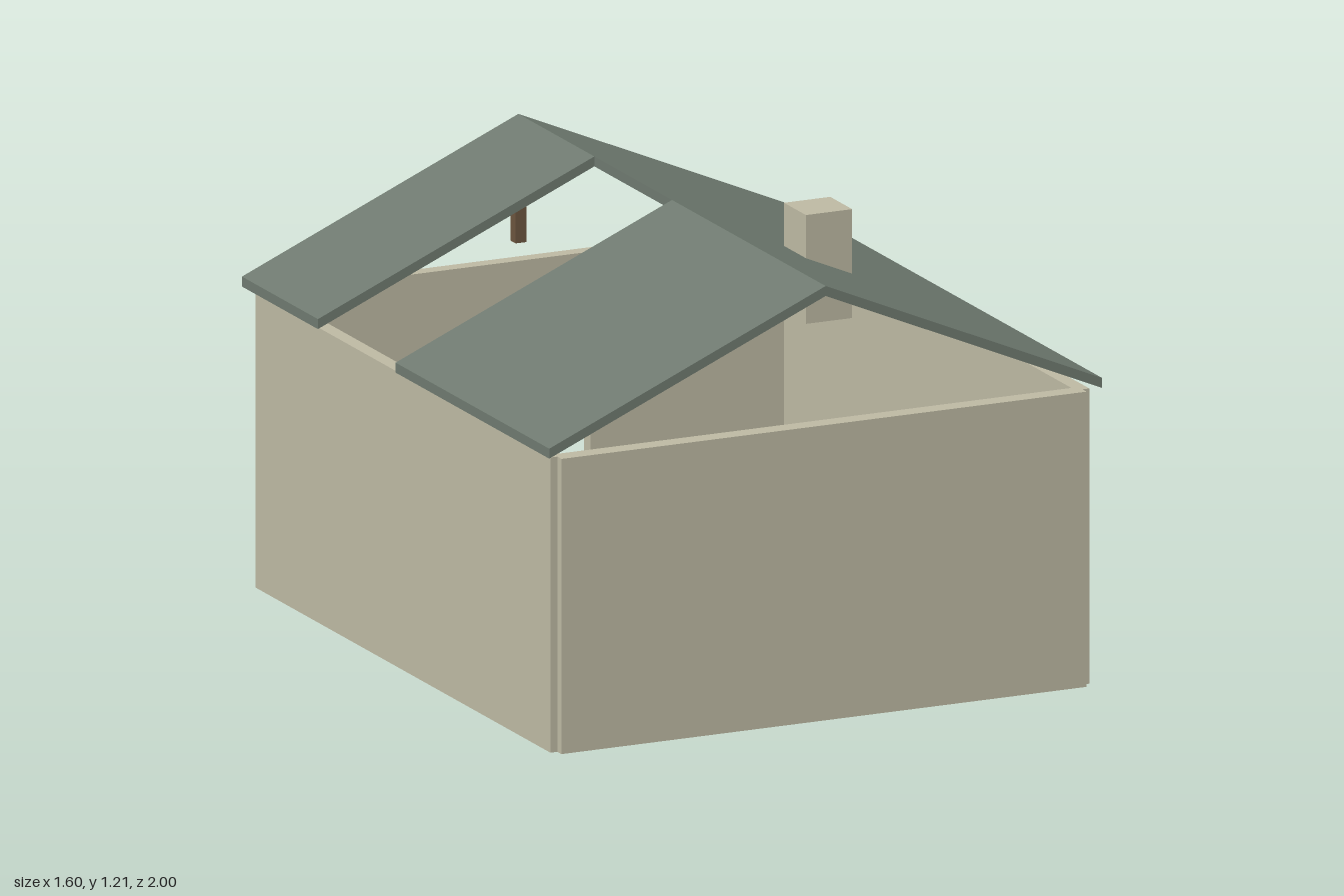
import * as THREE from 'three';

const mat = (color) => new THREE.MeshStandardMaterial({ color });

export function createModel() {
  const house = new THREE.Group();
  house.name = 'house';
  const wall = mat(0xbcb8a2), roof = mat(0x6e796f), wood = mat(0x70604a),
    darkWood = mat(0x6a543e), stone = mat(0xa19d82), glass = mat(0x3f6468), panel = mat(0x44687c);

  const add = (name, geometry, material) => {
    const mesh = new THREE.Mesh(geometry, material);
    mesh.name = name;
    house.add(mesh);
    return mesh;
  };
  // Box given by its limits on each axis
  const box = (name, material, [x0, x1], [y0, y1], [z0, z1]) =>
    add(name, new THREE.BoxGeometry(x1 - x0, y1 - y0, z1 - z0), material)
      .position.set((x0 + x1) / 2, (y0 + y1) / 2, (z0 + z1) / 2);
  // Outline in x and y, extruded from z0 to z1
  const prism = (name, material, points, z0, z1) => {
    const shape = new THREE.Shape(points.map(([x, y]) => new THREE.Vector2(x, y)));
    add(name, new THREE.ExtrudeGeometry(shape, { depth: z1 - z0, bevelEnabled: false }), material)
      .position.z = z0;
  };

  // Floor and closed walls
  box('floor', wood, [-0.74, 0.74], [0.003, 0.02], [-0.8, 0.94]);
  box('frontWall', wall, [-0.76, 0.76], [0, 0.8], [0.94, 0.99]);
  box('leftWall', wall, [0.74, 0.78], [0, 0.8], [-0.82, 0.965]);
  box('rightWall', wall, [-0.78, -0.74], [0, 0.8], [-0.82, 0.965]);

  // Back wall with the doorway
  prism('backWall', wall, [[-0.76, 0], [-0.18, 0], [-0.18, 0.6], [0.18, 0.6],
    [0.18, 0], [0.76, 0], [0.76, 0.8], [-0.76, 0.8]], -0.84, -0.8);
  box('doorStep', stone, [-0.225, 0.225], [0, 0.035], [-1, -0.84]);

  // Windows and base panels either side of the door
  for (const s of [-1, 1]) {
    box('window', glass, [s * 0.455 - 0.14, s * 0.455 + 0.14], [0.37, 0.57], [-0.848, -0.83]);
    box('basePanel', panel, [s * 0.505 - 0.24, s * 0.505 + 0.24], [0.005, 0.085], [-0.857, -0.83]);
  }

  // Roof slopes, the right one open in the middle
  const slope = (name, s, z0, z1) => prism(name, roof,
    [[0, 1.18], [s * 0.8, 0.835], [s * 0.8, 0.808], [0, 1.153]], z0, z1);
  slope('leftRoof', 1, -0.86, 1);
  slope('rightRoofBack', -1, -0.86, -0.4);
  slope('rightRoofFront', -1, 0.07, 1);

  // Gable post and chimney
  box('gablePost', darkWood, [-0.016, 0.016], [0.835, 1.155], [-0.875, -0.843]);
  box('chimney', wall, [0.213, 0.347], [0.91, 1.205], [0.302, 0.435]);

  return house;
}
